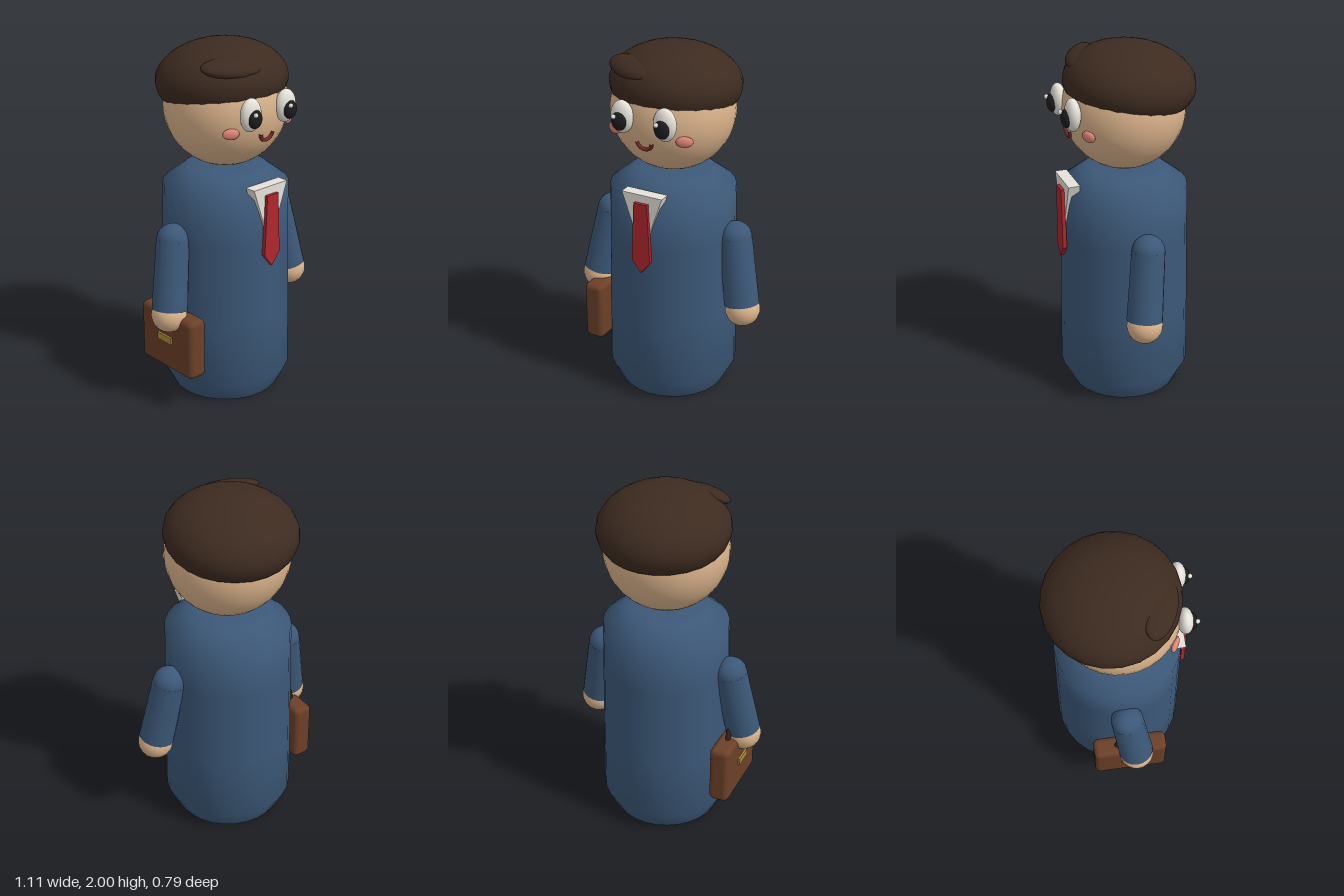
import * as THREE from 'three';
import { toCreasedNormals } from 'three/addons/utils/BufferGeometryUtils.js';
import { RoundedBoxGeometry } from 'three/addons/geometries/RoundedBoxGeometry.js';

const mat = (color, extra = {}) => new THREE.MeshStandardMaterial({ color, ...extra });
const SUIT = mat(0x3c5878), SKIN = mat(0xdcb48c), HAIR = mat(0x3d2b20, { side: THREE.DoubleSide });
const WHITE = mat(0xe6e2da), BLACK = mat(0x1c1c20), RED = mat(0xb0262e), PINK = mat(0xdf8578);
const LEATHER = mat(0x6b4028), DARK = mat(0x3a2015), GOLD = mat(0xb08a3a), LIP = mat(0x7a2a2a);

export function createModel() {
  const root = new THREE.Group();

  const add = (name, geometry, material, pos = [0, 0, 0], rot = [0, 0, 0]) => {
    const m = new THREE.Mesh(geometry, material);
    m.name = name;
    m.position.set(...pos);
    m.rotation.set(...rot);
    root.add(m);
    return m;
  };
  const ellipsoid = (name, r, material, pos, rot, w = 24, h = 16) =>
    add(name, new THREE.SphereGeometry(1, w, h).scale(...r), material, pos, rot);
  const plate = (name, pts, depth, material, z) => {
    const shape = new THREE.Shape(pts.map(([x, y]) => new THREE.Vector2(x, y)));
    add(name, new THREE.ExtrudeGeometry(shape, { depth, bevelEnabled: false }), material, [0, 0, z]);
  };

  // Suited body
  const profile = [[0, 0], [0.3, 0], [0.362, 0.12], [0.358, 0.5], [0.35, 0.95], [0.346, 1.21],
    [0.23, 1.3], [0.17, 1.31], [0, 1.315]].map(([r, y]) => new THREE.Vector2(r, y));
  add('body', toCreasedNormals(new THREE.LatheGeometry(profile, 28), 1.0), SUIT, [0, 0, -0.007]);

  // Shirt front and tie
  plate('shirtFront', [[-0.12, 1.275], [0, 0.93], [0.12, 1.275]], 0.065, WHITE, 0.282);
  plate('tie', [[-0.04, 1.23], [-0.055, 0.89], [0, 0.82], [0.055, 0.89], [0.04, 1.23]], 0.022, RED, 0.343);

  // Head and hair
  ellipsoid('head', [0.34, 0.34, 0.332], SKIN, [0, 1.655, -0.007], undefined, 32, 24);
  const cap = new THREE.SphereGeometry(1, 24, 14, 0, Math.PI * 2, 0, 1.98).scale(0.357, 0.217, 0.357);
  add('hair', cap, HAIR, [0, 1.784, -0.038], [-0.09, 0, 0]);
  ellipsoid('quiff', [0.165, 0.04, 0.08], HAIR, [-0.14, 1.908, 0.19], [0.35, -0.4, 0.1], 20, 12);

  // Face
  for (const s of [-1, 1]) {
    const side = s > 0 ? 'left' : 'right';
    ellipsoid(side + 'Eye', [0.065, 0.09, 0.042], WHITE, [s * 0.125, 1.685, 0.32]);
    ellipsoid(side + 'Pupil', [0.043, 0.05, 0.026], BLACK, [s * 0.125, 1.67, 0.355]);
    ellipsoid(side + 'EyeGlint', [0.013, 0.013, 0.013], WHITE, [s * 0.124 - 0.019, 1.7, 0.379], undefined, 12, 8);
    ellipsoid(side + 'Cheek', [0.046, 0.03, 0.018], PINK, [s * 0.207, 1.585, 0.261], [0, s * 0.45, 0], 16, 12);
  }
  add('mouth', new THREE.TorusGeometry(0.043, 0.01, 8, 20, Math.PI), LIP, [0, 1.562, 0.312], [0.2, 0, Math.PI]);

  // Arms and hands
  for (const s of [-1, 1]) {
    const side = s > 0 ? 'left' : 'right';
    const shoulder = new THREE.Vector3(s * 0.385, 0.965, -0.005);
    const wrist = new THREE.Vector3(s * 0.45, 0.59, 0.038);
    const axis = shoulder.clone().sub(wrist);
    const sleeve = add(side + 'Sleeve', new THREE.CylinderGeometry(0.09, 0.098, axis.length(), 20), SUIT,
      shoulder.clone().add(wrist).multiplyScalar(0.5).toArray());
    sleeve.quaternion.setFromUnitVectors(new THREE.Vector3(0, 1, 0), axis.normalize());
    ellipsoid(side + 'Shoulder', [0.09, 0.09, 0.09], SUIT, shoulder.toArray(), undefined, 20, 14);
    ellipsoid(side + 'Hand', [0.098, 0.098, 0.098], SKIN, [s * 0.457, 0.56, 0.04], undefined, 20, 14);
  }

  // Briefcase
  add('briefcase', new RoundedBoxGeometry(0.115, 0.345, 0.42, 3, 0.03), LEATHER, [-0.403, 0.388, 0.01]);
  add('briefcaseClasp', new THREE.BoxGeometry(0.02, 0.04, 0.11), GOLD, [-0.462, 0.405, 0.01]);
  add('briefcaseHandle', new THREE.TorusGeometry(0.075, 0.015, 8, 20, Math.PI), DARK,
    [-0.403, 0.555, 0.01], [0, Math.PI / 2, 0]);

  return root;
}
